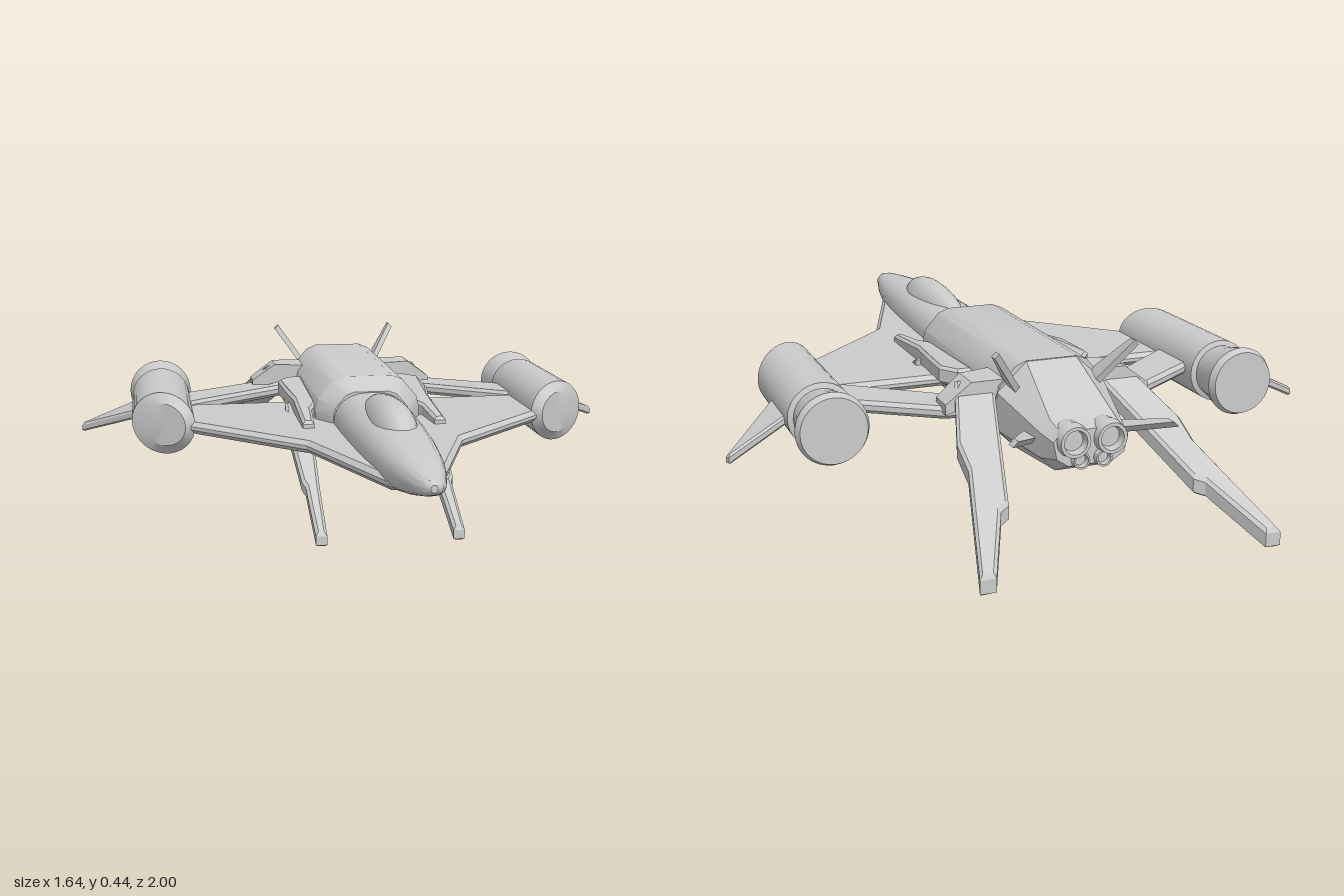
import * as THREE from 'three';
import { toCreasedNormals } from 'three/addons/utils/BufferGeometryUtils.js';

const material = new THREE.MeshStandardMaterial({ color: 0xcccccc });

// Skin a list of closed rings of [x, y, z] points, capped at both ends, facing outward
function loft(rings) {
  const n = rings[0].length, pos = rings.flat(2), idx = [];
  for (let r = 0; r < rings.length - 1; r++)
    for (let i = 0; i < n; i++) {
      const a = r * n + i, b = r * n + (i + 1) % n;
      idx.push(a, b, a + n, b, b + n, a + n);
    }
  [0, rings.length - 1].forEach((r, end) => {
    const c = pos.length / 3;
    for (let k = 0; k < 3; k++) pos.push(rings[r].reduce((s, p) => s + p[k], 0) / n);
    for (let i = 0; i < n; i++) {
      const a = r * n + i, b = r * n + (i + 1) % n;
      if (end) idx.push(a, b, c); else idx.push(b, a, c);
    }
  });
  const v = i => new THREE.Vector3().fromArray(pos, i * 3);
  const o = v(0);
  let volume = 0;
  for (let i = 0; i < idx.length; i += 3)
    volume += v(idx[i]).sub(o).dot(v(idx[i + 1]).sub(o).cross(v(idx[i + 2]).sub(o)));
  if (volume < 0) idx.reverse();
  const g = new THREE.BufferGeometry();
  g.setAttribute('position', new THREE.Float32BufferAttribute(pos, 3));
  g.setIndex(idx);
  return g;
}

// Slab with an [x, z] outline; height(x, z) gives its mid surface
function slab(outline, thickness, height, bevel = 0.008) {
  const shape = new THREE.Shape(outline.map(([x, z]) => new THREE.Vector2(x, -z)));
  const depth = thickness - 2 * bevel;
  const g = new THREE.ExtrudeGeometry(shape, {
    depth, bevelThickness: bevel, bevelSize: bevel, bevelOffset: -bevel, bevelSegments: 1,
  });
  g.rotateX(-Math.PI / 2).translate(0, -depth / 2, 0);
  const p = g.attributes.position;
  for (let i = 0; i < p.count; i++) p.setY(i, p.getY(i) + height(p.getX(i), p.getZ(i)));
  return g;
}

// Same solid on the other side, with its faces turned back outward
function mirrored(geometry) {
  const g = geometry.index ? geometry.toNonIndexed() : geometry.clone();
  g.scale(-1, 1, 1);
  const p = g.attributes.position;
  const a = new THREE.Vector3(), b = new THREE.Vector3();
  for (let i = 0; i < p.count; i += 3) {
    a.fromBufferAttribute(p, i);
    b.fromBufferAttribute(p, i + 1);
    p.setXYZ(i, b.x, b.y, b.z);
    p.setXYZ(i + 1, a.x, a.y, a.z);
  }
  return g;
}

// Symmetric ring at z from right-half [x, y] points
const halfRing = (z, pts) => [
  ...pts.map(([x, y]) => [x, y, z]),
  ...[...pts].reverse().map(([x, y]) => [-x, y, z]),
];

// Circle of points around (x, y), z given by a rule of the offset along x
const circle = (x, y, r, zRule, n = 32) => Array.from({ length: n }, (_, i) => {
  const a = i / n * Math.PI * 2, dx = r * Math.cos(a);
  return [x + dx, y + r * Math.sin(a), zRule(dx)];
});

export function createModel() {
  const model = new THREE.Group();
  const add = (name, geometry, crease = 0.55) => {
    const mesh = new THREE.Mesh(toCreasedNormals(geometry, crease), material);
    mesh.name = name;
    model.add(mesh);
  };
  const addPair = (name, geometry, crease) => {
    add(name + 'Left', geometry, crease);
    add(name + 'Right', mirrored(geometry), crease);
  };

  // Nose: z, half width, top, bottom
  const nose = [
    [1, 0.008, 0.298, 0.28], [0.99, 0.022, 0.308, 0.272], [0.96, 0.036, 0.315, 0.262],
    [0.88, 0.056, 0.325, 0.243], [0.78, 0.073, 0.335, 0.225], [0.65, 0.087, 0.345, 0.21],
    [0.5, 0.097, 0.35, 0.202], [0.3, 0.105, 0.352, 0.195], [0.1, 0.108, 0.352, 0.19],
  ];
  add('noseFuselage', loft(nose.map(([z, w, top, bottom]) => {
    const mid = bottom + (top - bottom) * 0.45;
    return Array.from({ length: 28 }, (_, i) => {
      const a = i / 28 * Math.PI * 2, s = Math.sin(a), c = Math.cos(a);
      const x = w * Math.sign(c) * Math.abs(c) ** 0.8;
      const y = Math.sign(s) * Math.abs(s) ** 0.9 * (s > 0 ? top - mid : mid - bottom);
      return [x, mid + y, z];
    });
  })));

  // Canopy bubble, longer toward the rear
  const canopy = new THREE.SphereGeometry(1, 32, 20).scale(0.06, 0.075, 0.24);
  const cp = canopy.attributes.position;
  for (let i = 0; i < cp.count; i++) {
    const z = cp.getZ(i);
    cp.setZ(i, z > 0 ? z * 0.72 : z * 1.25);
  }
  add('canopy', canopy.translate(0, 0.315, 0.49));

  // Main hull and tapering tail
  const hull = [[0.07, 0.387], [0.1, 0.375], [0.142, 0.325], [0.15, 0.29], [0.15, 0.225], [0.14, 0.2], [0.095, 0.155]];
  const front = hull.map(([x, y]) => [x * 0.72, 0.27 + (y - 0.27) * 0.72]);
  add('mainHull', loft([halfRing(0.175, front), halfRing(0.105, hull), halfRing(-0.5, hull)]));
  add('tail', loft([
    halfRing(-0.5, [[0.07, 0.385], [0.15, 0.31], [0.15, 0.21], [0.095, 0.155]]),
    halfRing(-0.69, [[0.085, 0.288], [0.112, 0.26], [0.11, 0.195], [0.07, 0.157]]),
    halfRing(-0.745, [[0.08, 0.275], [0.1, 0.25], [0.09, 0.205], [0.06, 0.185]]),
  ]), 0.3);

  // Tail nozzles: upper pair and smaller lower pair
  for (const [name, x, y, r, z] of [['upperNozzle', 0.049, 0.25, 0.044, -0.765], ['lowerNozzle', 0.03, 0.2, 0.024, -0.76]])
    addPair(name, loft([
      circle(x, y, r * 0.85, () => -0.68, 20), circle(x, y, r, () => z + 0.03, 20),
      circle(x, y, r * 0.9, () => z, 20), circle(x, y, r * 0.7, () => z, 20),
      circle(x, y, r * 0.6, () => z + 0.02, 20),
    ]));

  // Delta wing in one plate through the hull
  const wingHalf = [[0.065, 0.8], [0.21, 0.39], [0.5, 0.1], [0.5, -0.165]];
  add('deltaWing', slab([...wingHalf, ...wingHalf.map(([x, z]) => [-x, z]).reverse()], 0.034, () => 0.251, 0.012), 0.3);

  // Wing engines with slanted intakes and flared nozzles
  const ex = 0.575, ey = 0.257;
  const engine = [
    [0.06, d => 0.067 - 0.71 * d], [0.088, d => 0.045 - 0.51 * d], [0.088, () => -0.365], [0.074, () => -0.37],
    [0.078, () => -0.4], [0.095, () => -0.475], [0.086, () => -0.495],
  ];
  addPair('engine', loft(engine.map(([r, zRule]) => circle(ex, ey, r, zRule))), 0.4);

  // Drooping winglets outside the engines
  addPair('winglet', slab([[0.62, -0.12], [0.82, -0.355], [0.815, -0.37], [0.62, -0.31]].map(([x, z]) => [x, z]),
    0.026, x => 0.245 - (x - 0.65) * 0.46, 0.006), 0.3);

  // Swept struts from hull to engines
  addPair('engineStrut', slab([[0.12, -0.35], [0.2, -0.38], [0.53, -0.13], [0.53, -0.3], [0.285, -0.465], [0.12, -0.5]],
    0.034, () => 0.26, 0.01), 0.3);

  // Rear hips and legs
  const hip = [[0.12, 0.342], [0.215, 0.342], [0.285, 0.29], [0.285, 0.262], [0.21, 0.285], [0.12, 0.285]];
  addPair('rearHip', loft([[-0.375, 0.02], [-0.49, 0]].map(([z, sweep]) =>
    hip.map(([x, y]) => [x, y, z - sweep * (x - 0.12) / 0.165 * 2]))), 0.3);
  addPair('rearLeg', slab([
    [0.24, -0.43], [0.305, -0.63], [0.305, -0.71], [0.385, -1], [0.345, -1],
    [0.27, -0.835], [0.245, -0.82], [0.14, -0.45],
  ], 0.05, (x, z) => 0.294 + (z + 0.47) * 0.495), 0.3);

  // Front leg fairings on the wing, and legs emerging below it
  addPair('frontFairing', slab([
    [0.14, -0.3], [0.185, -0.3], [0.22, -0.25], [0.215, -0.1], [0.2, 0], [0.2, 0.23], [0.168, 0.23], [0.16, 0.1], [0.14, 0.05],
  ], 0.05, (x, z) => z < -0.1 ? 0.295 : 0.295 - (z + 0.1) * 0.1), 0.3);
  addPair('frontLeg', slab([
    [0.15, -0.05], [0.22, -0.05], [0.222, 0.1], [0.21, 0.28], [0.202, 0.3], [0.198, 0.48], [0.168, 0.48], [0.164, 0.3], [0.155, 0.1],
  ], 0.04, (x, z) => 0.022 + (0.48 - z) * 0.47), 0.3);

  // Tail fins: upper pair raised, lower pair swept back; from root to tip
  const blade = (root, tip, rootChord, tipChord, t) => loft([[root, rootChord], [tip, tipChord]].map(([[x, y, z], c]) => [
    [x - t, y + t, z + c], [x + t, y - t, z + c], [x + t, y - t, z - c], [x - t, y + t, z - c],
  ]));
  addPair('upperFin', blade([0.1, 0.31, -0.5], [0.19, 0.437, -0.59], 0.035, 0.012, 0.006), 0.3);
  addPair('lowerFin', blade([0.09, 0.22, -0.59], [0.213, 0.272, -0.768], 0.04, 0.014, 0.007), 0.3);

  return model;
}
